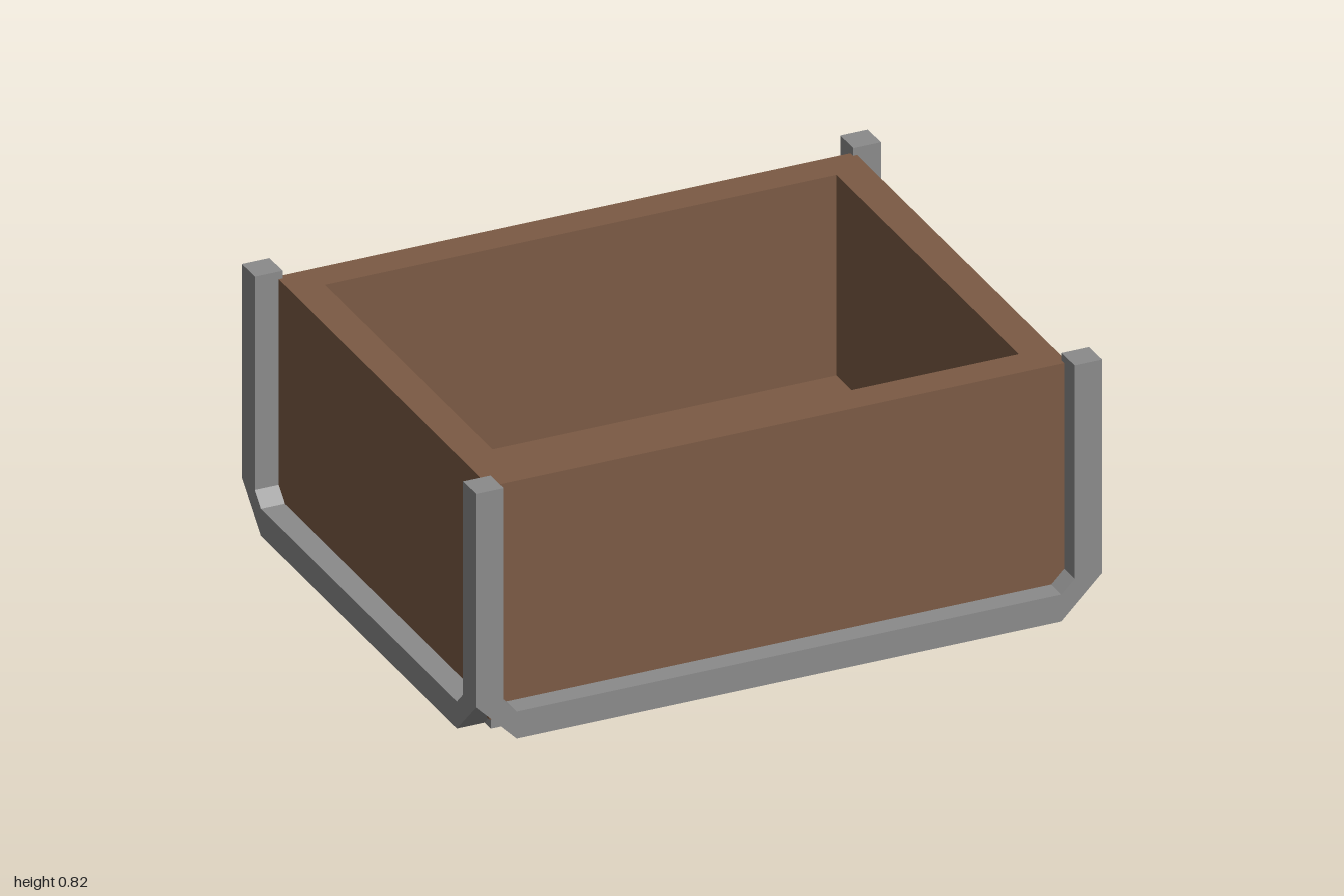
import * as THREE from 'three';

const W = 1, D = 0.8, H = 0.825;      // half width, half depth, height of the frame
const BAR = 0.088, GUSSET = 0.042;    // square bar size and inner corner brace
const BEVEL = 0.13;                   // cut lower corners
const BOX_W = 0.924, BOX_D = 0.73, BOX_BOTTOM = 0.04, BOX_TOP = 0.8, WALL = 0.107;

const outline = (pts) => pts.map(([x, y]) => new THREE.Vector2(x, y));
const rectangle = (w, d) => outline([[-w, -d], [w, -d], [w, d], [-w, d]]);
const extrude = (shape, depth) => new THREE.ExtrudeGeometry(shape, { depth, bevelEnabled: false });

// U-shaped side of the frame: two posts, a bottom rail and cut corners
function sideFrame(halfW) {
  const inner = halfW - BAR;
  const half = [
    [halfW - BEVEL, 0], [halfW, BEVEL], [halfW, H], [inner, H],
    [inner, BAR + GUSSET], [inner - GUSSET, BAR],
  ];
  const mirrored = half.map(([x, y]) => [-x, y]).reverse();
  return extrude(new THREE.Shape(outline([...half, ...mirrored])), BAR);
}

export function createModel() {
  const model = new THREE.Group();
  const metal = new THREE.MeshStandardMaterial({ color: 0x8a8a8a });
  metal.name = 'grey metal';
  const wood = new THREE.MeshStandardMaterial({ color: 0x7b5a44 });
  wood.name = 'brown wood';

  const add = (name, geo, material, parent) => {
    const mesh = new THREE.Mesh(geo, material);
    mesh.name = name;
    parent.add(mesh);
    return mesh;
  };

  // Metal frame
  const frame = new THREE.Group();
  frame.name = 'frame';
  model.add(frame);
  const sides = [
    ['frontFrame', W, D, 0],
    ['backFrame', W, D, Math.PI],
    ['leftFrame', D, W, Math.PI / 2],
    ['rightFrame', D, W, -Math.PI / 2],
  ];
  for (const [name, halfW, outer, angle] of sides) {
    const geo = sideFrame(halfW);
    geo.translate(0, 0, outer - BAR).rotateY(angle);
    add(name, geo, metal, frame);
  }

  // Triangular braces between the bottom rails
  const x = W - BAR, z = D - BAR;
  for (const sx of [-1, 1]) {
    for (const sz of [-1, 1]) {
      const corner = [[x - GUSSET, z], [x, z - GUSSET], [x, z]].map(([a, b]) => [a * sx, b * sz]);
      const geo = extrude(new THREE.Shape(outline(corner)), BAR);
      geo.rotateX(-Math.PI / 2);
      add('cornerBrace', geo, metal, frame);
    }
  }

  // Open wooden box
  const box = new THREE.Group();
  box.name = 'box';
  model.add(box);
  const walls = new THREE.Shape(rectangle(BOX_W, BOX_D));
  walls.holes.push(new THREE.Path(rectangle(BOX_W - WALL, BOX_D - WALL).reverse()));
  const wallGeo = extrude(walls, BOX_TOP - BOX_BOTTOM);
  wallGeo.rotateX(-Math.PI / 2).translate(0, BOX_BOTTOM, 0);
  add('walls', wallGeo, wood, box);
  const floor = add('floor',
    new THREE.BoxGeometry(2 * (BOX_W - WALL), WALL, 2 * (BOX_D - WALL)), wood, box);
  floor.position.y = BOX_BOTTOM + WALL / 2;

  return model;
}
